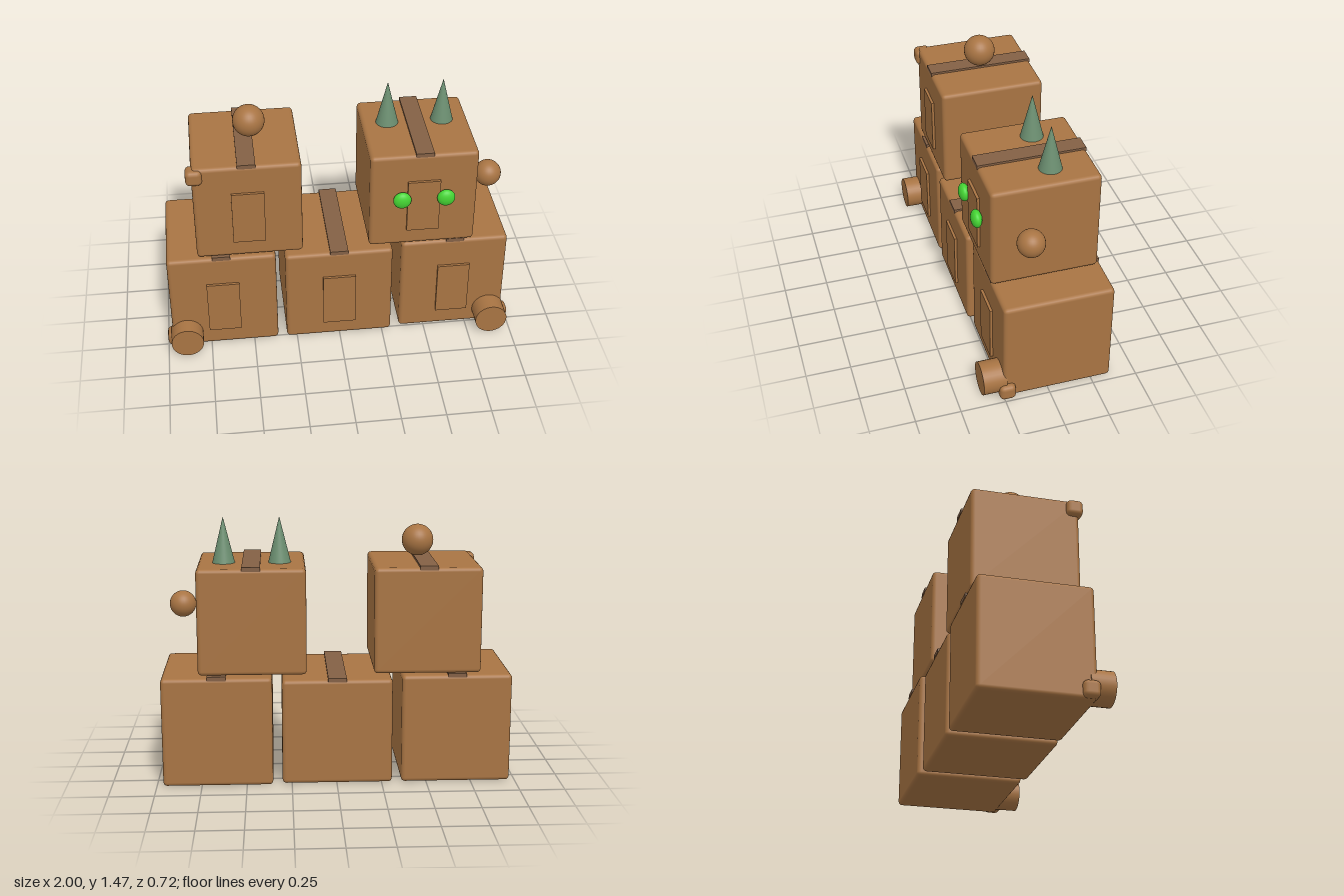
import * as THREE from 'three';
import { RoundedBoxGeometry } from 'three/addons/geometries/RoundedBoxGeometry.js';

const mat = (name, color) => new THREE.MeshStandardMaterial({ name, color });

export function createModel() {
  const cardboard = mat('cardboard', 0xa87443);
  const tapeBrown = mat('tapeBrown', 0x836045);
  const hornGreen = mat('hornGreen', 0x6b8e70);
  const eyeGreen = mat('eyeGreen', 0x44d433);
  const root = new THREE.Group();
  root.name = 'boxStack';

  const add = (parent, name, geometry, material, x, y, z) => {
    const mesh = new THREE.Mesh(geometry, material);
    mesh.name = name;
    mesh.position.set(x, y, z);
    parent.add(mesh);
    return mesh;
  };

  // One carton: bevelled body, tape along the top and a raised front panel
  const carton = (name, x, y, z, s, h) => {
    const g = new THREE.Group();
    g.name = name;
    g.position.set(x, y, z);
    root.add(g);
    add(g, 'body', new RoundedBoxGeometry(s, h, s, 2, 0.022), cardboard, 0, h / 2, 0);
    add(g, 'tape', new THREE.BoxGeometry(s * 0.167, 0.024, s), tapeBrown, 0, h, 0);
    add(g, 'frontPanel', new THREE.BoxGeometry(s * 0.303, s * 0.54, 0.03), cardboard, 0, h * 0.447, s / 2);
    return g;
  };
  carton('lowerRightBox', -0.665, 0, -0.037, 0.61, 0.615);
  carton('lowerMiddleBox', -0.003, 0, -0.037, 0.612, 0.595);
  carton('lowerLeftBox', 0.66, 0, -0.055, 0.61, 0.615);
  carton('upperRightBox', -0.5, 0.625, -0.037, 0.59, 0.588);
  carton('upperLeftBox', 0.463, 0.625, -0.037, 0.595, 0.588);

  // Round front feet
  for (const x of [-0.887, 0.882]) {
    const foot = add(root, 'frontFoot', new THREE.CylinderGeometry(0.092, 0.092, 0.13, 32), cardboard, x, 0.094, 0.297);
    foot.rotation.x = Math.PI / 2;
  }

  // Small rounded knobs on the corners
  for (const [x, y] of [[-0.955, 0.05], [0.955, 0.05], [-0.781, 1.162]]) {
    add(root, 'cornerKnob', new RoundedBoxGeometry(0.09, 0.09, 0.09, 2, 0.025), cardboard, x, y, 0.232);
  }

  // Ball on the upper right box and ball beside the upper left box
  add(root, 'topBall', new THREE.SphereGeometry(0.088, 32, 20), cardboard, -0.466, 1.322, -0.033);
  add(root, 'sideBall', new THREE.SphereGeometry(0.075, 32, 20), cardboard, 0.86, 0.946, 0.077);

  // Face: flattened eyes and pointed horns
  for (const x of [0.34, 0.583]) {
    add(root, 'eye', new THREE.SphereGeometry(0.05, 24, 16), eyeGreen, x, 0.946, 0.288).scale.z = 0.6;
  }
  for (const x of [0.307, 0.616]) {
    add(root, 'horn', new THREE.ConeGeometry(0.064, 0.26, 32), hornGreen, x, 1.337, -0.1);
  }
  return root;
}
